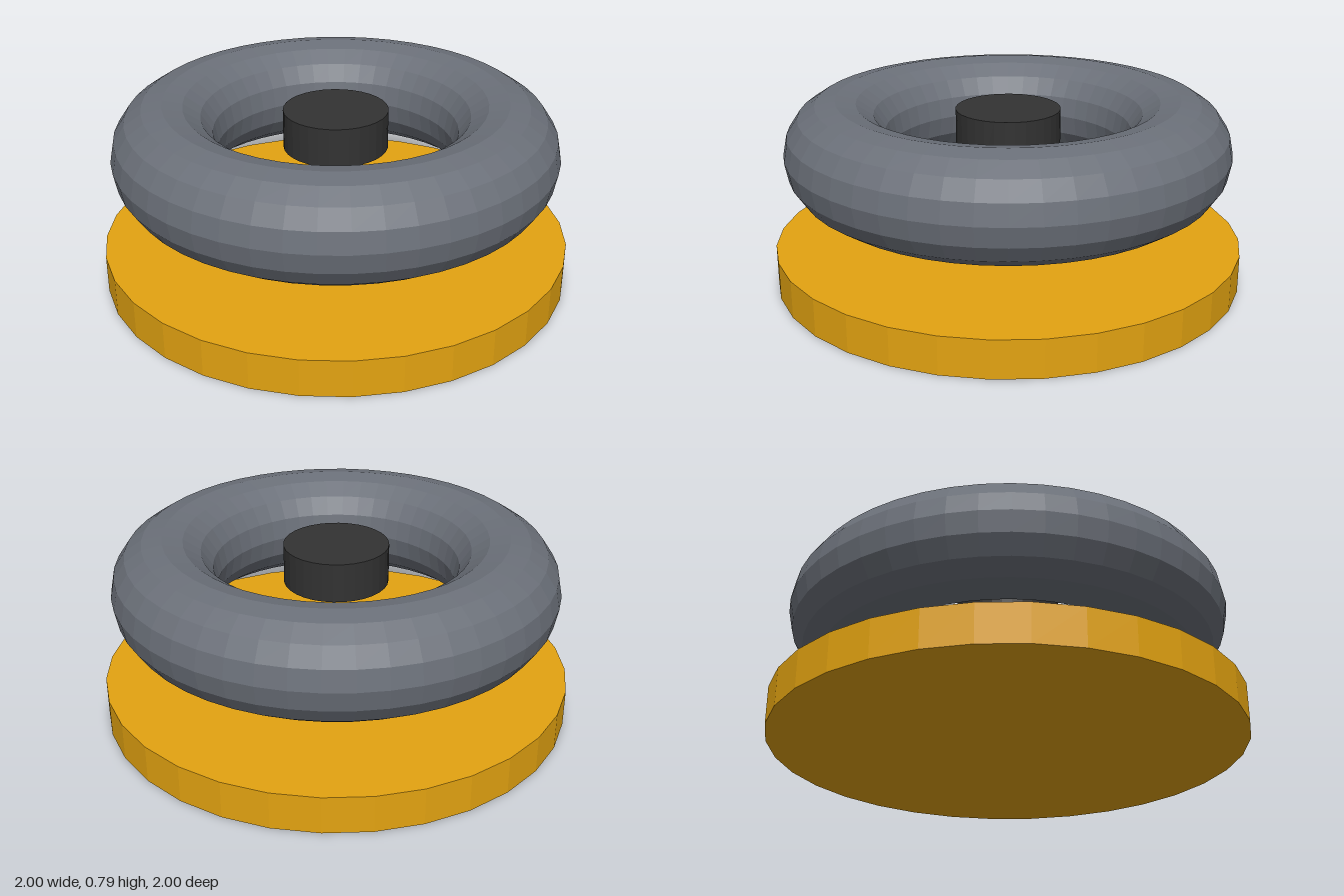
import * as THREE from 'three';

export function createModel() {
  const model = new THREE.Group();
  const flat = (name, color) => {
    const m = new THREE.MeshStandardMaterial({ color, flatShading: true });
    m.name = name;
    return m;
  };
  const gold = flat('gold', 0xe3a311);
  const grey = flat('slate grey', 0x6b7079);
  const black = flat('charcoal', 0x323232);

  const add = (name, geometry, material, y) => {
    const mesh = new THREE.Mesh(geometry, material);
    mesh.name = name;
    mesh.position.y = y;
    model.add(mesh);
  };

  // Flat round base
  add('baseDisc', new THREE.CylinderGeometry(1, 1, 0.16, 32), gold, 0.08);

  // Ring floating above the base
  const ring = new THREE.TorusGeometry(0.722, 0.222, 16, 48).rotateX(-Math.PI / 2);
  add('ring', ring, grey, 0.568);

  // Short hub floating in the middle of the ring
  add('hub', new THREE.CylinderGeometry(0.222, 0.222, 0.167, 32), black, 0.651);

  return model;
}
